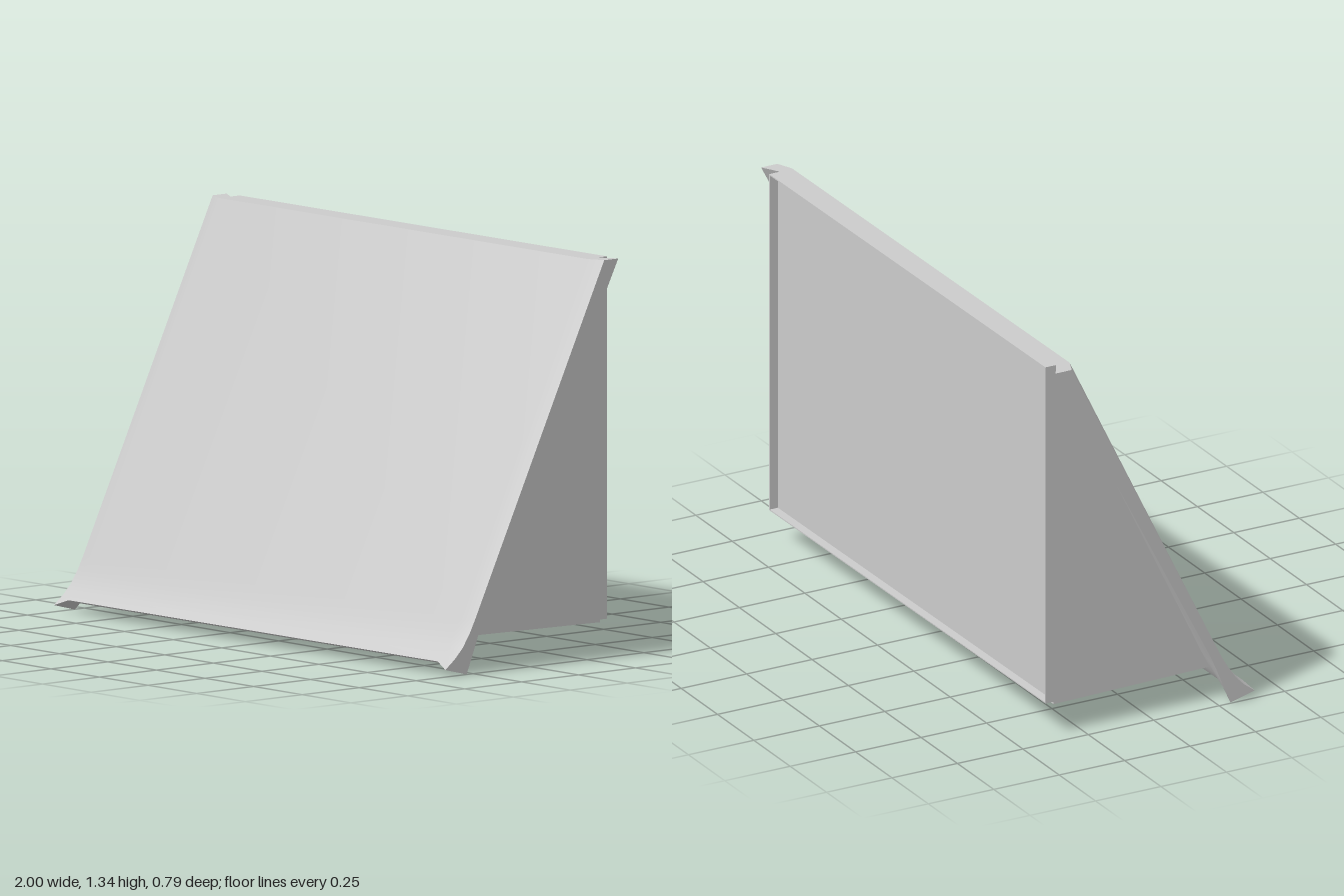
import * as THREE from 'three';
import { toCreasedNormals } from 'three/addons/utils/BufferGeometryUtils.js';

const HALF_BOX = 0.935; // half width of the wedge-shaped body
const TOP = 1.34;
const FLOOR = 0.117;

// Sheet cross-sections as [z, y]: front face then back face, each from ridge to eave
const middleSection = {
  front: [[-0.298, TOP], [0.268, 0.18], [0.29, 0.137], [0.314, 0.097], [0.338, 0.068], [0.365, 0.045]],
  back: [[-0.35, TOP], [0.21, 0.18], [0.232, 0.137], [0.255, 0.095], [0.28, 0.06], [0.315, 0.03]],
};
const endSection = {
  front: [[-0.322, TOP], [0.25, 0.18], [0.274, 0.135], [0.305, 0.09], [0.34, 0.055], [0.381, 0.024]],
  back: [[-0.384, TOP], [0.212, 0.18], [0.234, 0.13], [0.25, 0.09], [0.266, 0.05], [0.287, 0]],
};

// Joins closed sections along x and closes both ends
function loftSheet(stations) {
  const n = stations[0].section.front.length;
  const loopSize = 2 * n;
  const positions = [];
  const index = [];
  for (const { x, section } of stations) {
    const loop = [...section.front, ...[...section.back].reverse()];
    for (const [z, y] of loop) positions.push(x, y, z);
  }
  const quad = (a, b, c, d) => index.push(a, b, c, a, c, d);
  for (let i = 0; i < stations.length - 1; i++) {
    for (let j = 0; j < loopSize; j++) {
      const k = (j + 1) % loopSize;
      const p = i * loopSize;
      const q = p + loopSize;
      quad(p + j, p + k, q + k, q + j);
    }
  }
  const last = (stations.length - 1) * loopSize;
  for (let k = 0; k < n - 1; k++) {
    const b = loopSize - 1 - k;
    quad(b - 1, k + 1, k, b);
    quad(last + b, last + k, last + k + 1, last + b - 1);
  }
  const geometry = new THREE.BufferGeometry();
  geometry.setAttribute('position', new THREE.Float32BufferAttribute(positions, 3));
  geometry.setIndex(index);
  return toCreasedNormals(geometry, 0.6);
}

export function createModel() {
  const model = new THREE.Group();
  model.name = 'roofSection';
  const grey = new THREE.MeshStandardMaterial({ color: 0xcccccc });
  const add = (name, geometry) => {
    const mesh = new THREE.Mesh(geometry, grey);
    mesh.name = name;
    model.add(mesh);
    return mesh;
  };

  // Sloping sheet with a kicked-out eave and drooping ends
  add('roofSheet', loftSheet([
    { x: -0.997, section: endSection },
    { x: -0.94, section: middleSection },
    { x: 0.94, section: middleSection },
    { x: 0.997, section: endSection },
  ]));

  // Triangular body behind the sheet; shape drawn in (-z, y), extruded along x
  const side = new THREE.Shape();
  side.moveTo(-0.245, FLOOR);
  side.lineTo(0.357, 0.108);
  side.lineTo(0.357, TOP);
  side.lineTo(0.34, TOP);
  const body = new THREE.ExtrudeGeometry(side, { depth: 2 * HALF_BOX, bevelEnabled: false });
  body.translate(0, 0, -HALF_BOX);
  body.rotateY(Math.PI / 2);
  add('wedgeBody', body);

  // Thin rim standing out around the recessed back panel
  const rim = new THREE.Shape();
  const outline = (path, inset) => {
    const x = HALF_BOX - inset;
    path.moveTo(-x, FLOOR + inset);
    path.lineTo(x, FLOOR + inset);
    path.lineTo(x, TOP - inset);
    path.lineTo(-x, TOP - inset);
    path.closePath();
    return path;
  };
  outline(rim, 0);
  rim.holes.push(outline(new THREE.Path(), 0.004));
  const frame = new THREE.ExtrudeGeometry(rim, { depth: 0.032, bevelEnabled: false });
  frame.translate(0, 0, -0.388);
  add('backRim', frame);

  // Whole piece sits very slightly turned
  model.rotation.y = 0.009;
  return model;
}
